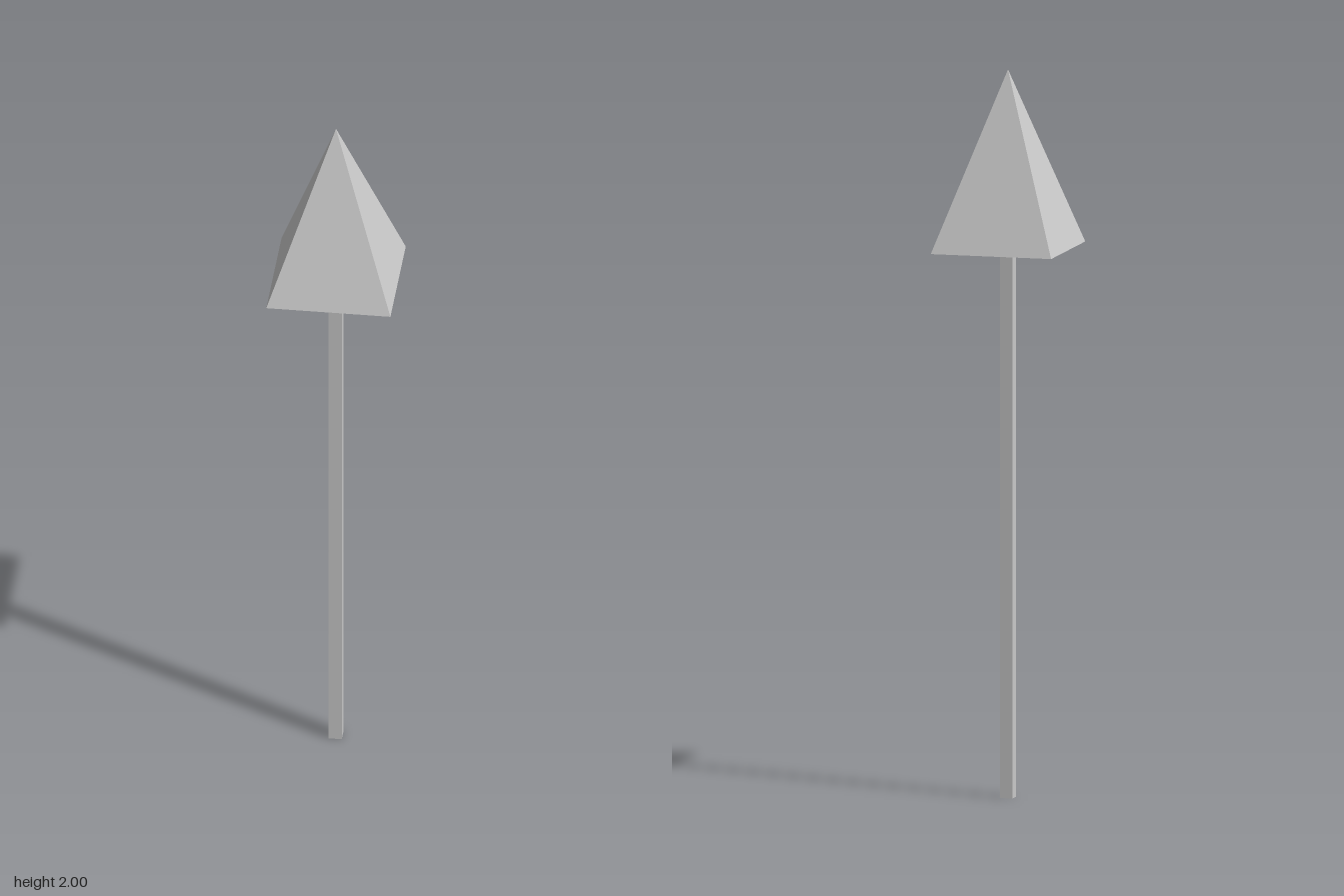
import * as THREE from 'three';

const HEIGHT = 2;
const HEAD_BASE = 1.51;
const HEAD_HALF = 0.17;
const SHAFT_WIDTH = 0.036;

export function createModel() {
  const model = new THREE.Group();
  const material = new THREE.MeshStandardMaterial({ color: 0xcccccc, flatShading: true });

  // Square shaft standing on the ground
  const shaft = new THREE.Mesh(new THREE.BoxGeometry(SHAFT_WIDTH, HEAD_BASE, SHAFT_WIDTH), material);
  shaft.name = 'shaft';
  shaft.position.y = HEAD_BASE / 2;
  model.add(shaft);

  // Four-sided pyramid head, turned so its base lines up with the axes
  const headHeight = HEIGHT - HEAD_BASE;
  const headGeometry = new THREE.ConeGeometry(HEAD_HALF * Math.SQRT2, headHeight, 4);
  headGeometry.rotateY(Math.PI / 4);
  const head = new THREE.Mesh(headGeometry, material);
  head.name = 'pyramidHead';
  head.position.y = HEAD_BASE + headHeight / 2;
  model.add(head);

  return model;
}
